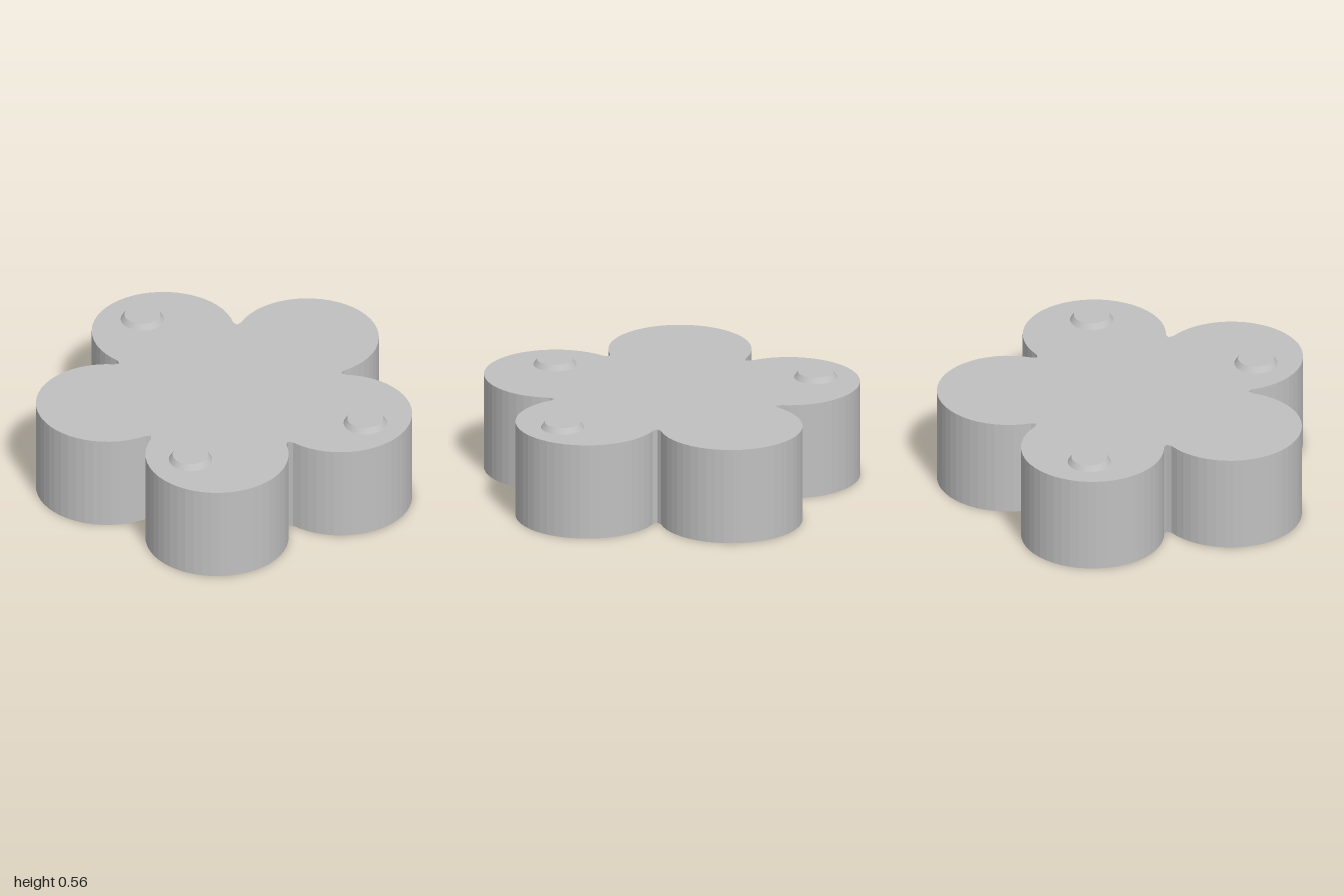
import * as THREE from 'three';

const HEIGHT = 0.525, CENTRE_Z = 0.062;
const PETAL_RADIUS = 0.38, PETAL_OFFSET = 0.652, NOTCH = 0.62;

// Five petal arcs joined by small pointed notches; heading 0 faces +z
function flowerOutline() {
  const points = [];
  const rad = THREE.MathUtils.degToRad;
  const add = (x, z) => points.push(new THREE.Vector2(x, -z));
  const steps = 30, spread = rad(108.7);
  for (let k = 0; k < 5; k++) {
    const notch = rad(72 * k), heading = rad(72 * k + 36);
    add(NOTCH * Math.sin(notch), CENTRE_Z + NOTCH * Math.cos(notch));
    const cx = PETAL_OFFSET * Math.sin(heading);
    const cz = CENTRE_Z + PETAL_OFFSET * Math.cos(heading);
    for (let i = 0; i <= steps; i++) {
      const a = heading - spread + (2 * spread * i) / steps;
      add(cx + PETAL_RADIUS * Math.sin(a), cz + PETAL_RADIUS * Math.cos(a));
    }
  }
  return new THREE.Shape(points);
}

export function createModel() {
  const group = new THREE.Group();
  const grey = new THREE.MeshStandardMaterial({ color: 0xc0c0c0 });
  grey.name = 'light grey';

  // Solid flower-shaped block
  const bodyGeometry = new THREE.ExtrudeGeometry(flowerOutline(), { depth: HEIGHT, bevelEnabled: false });
  bodyGeometry.rotateX(-Math.PI / 2);
  const body = new THREE.Mesh(bodyGeometry, grey);
  body.name = 'flowerBody';
  group.add(body);

  // Tapered raised buttons on three petals
  const buttonGeometry = new THREE.CylinderGeometry(0.095, 0.115, 0.03, 40);
  [[-0.78, -0.155], [0.78, -0.155], [0.31, 0.72]].forEach(([x, z], i) => {
    const button = new THREE.Mesh(buttonGeometry, grey);
    button.name = `button${i + 1}`;
    button.position.set(x, HEIGHT + 0.015, z);
    group.add(button);
  });
  return group;
}
